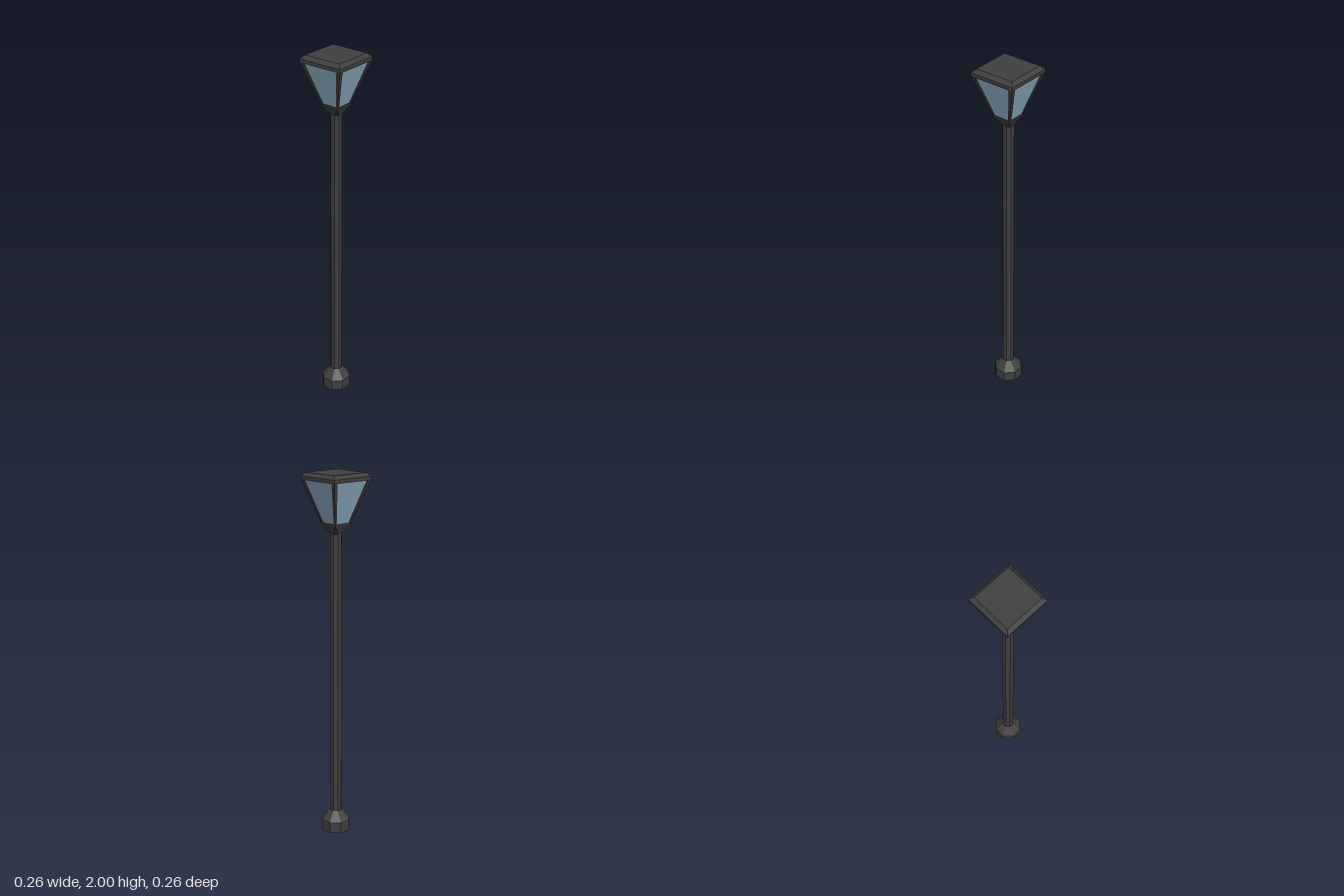
import * as THREE from 'three';

const metal = new THREE.MeshStandardMaterial({ color: 0x3f3f3f, flatShading: true });
const glass = new THREE.MeshStandardMaterial({ color: 0x8fb0c6, flatShading: true });

// Lantern wall: half-width grows linearly with height
const Y0 = 1.73, Y1 = 1.967, H0 = 0.053, H1 = 0.13;
const halfAt = (y) => H0 + ((H1 - H0) * (y - Y0)) / (Y1 - Y0);

// Prism or frustum with flats facing the axes; sizes are centre-to-flat
function prism(sides, bottom, top, y0, y1) {
  const k = 1 / Math.cos(Math.PI / sides);
  const geo = new THREE.CylinderGeometry(top * k, bottom * k, y1 - y0, sides);
  geo.rotateY(Math.PI / sides);
  geo.translate(0, (y0 + y1) / 2, 0);
  return geo;
}

// Lean a flat panel onto the lantern wall, mitred toward the inside
function leanOntoWall(geo, inset) {
  const p = geo.attributes.position;
  for (let i = 0; i < p.count; i++) {
    const h = halfAt(p.getY(i));
    const depth = inset - p.getZ(i);
    p.setXYZ(i, (p.getX(i) * (h - depth)) / h, p.getY(i), h - depth);
  }
  geo.computeVertexNormals();
  return geo;
}

const trapezoid = (b, t, y0, y1) => [[-b, y0], [b, y0], [t, y1], [-t, y1]].map(([x, y]) => new THREE.Vector2(x, y));

export function createModel() {
  const group = new THREE.Group();
  const add = (name, geo, mat = metal, parent = group) => {
    const mesh = new THREE.Mesh(geo, mat);
    mesh.name = name;
    parent.add(mesh);
    return mesh;
  };

  // Octagonal foot and pole
  add('base', prism(8, 0.075, 0.075, 0, 0.062));
  add('baseTaper', prism(8, 0.075, 0.031, 0.062, 0.117));
  add('pole', prism(8, 0.03, 0.03, 0.1, 1.7));

  // Collar: octagon at the pole opening into the square lantern floor
  const collar = prism(8, 0.03, H0, 1.682, Y0);
  const p = collar.attributes.position;
  for (let i = 0; i < p.count; i++) {
    if (p.getY(i) < Y0 - 0.01 || Math.hypot(p.getX(i), p.getZ(i)) < 0.001) continue;
    p.setX(i, Math.sign(p.getX(i)) * H0);
    p.setZ(i, Math.sign(p.getZ(i)) * H0);
  }
  add('collar', collar);

  // Four framed panes
  const thickness = 0.012;
  const opening = trapezoid(0.045, 0.106, 1.74, 1.96);
  const frameShape = new THREE.Shape(trapezoid(H0, H1, Y0, Y1));
  frameShape.holes.push(new THREE.Path(opening));
  const frameGeo = leanOntoWall(
    new THREE.ExtrudeGeometry(frameShape, { depth: thickness, bevelEnabled: false }), thickness);
  const paneGeo = leanOntoWall(new THREE.ShapeGeometry(new THREE.Shape(opening)), 0.004);
  for (let i = 0; i < 4; i++) {
    const side = new THREE.Group();
    side.name = 'lanternSide';
    side.rotation.y = (i * Math.PI) / 2;
    add('frame', frameGeo, metal, side);
    add('pane', paneGeo, glass, side);
    group.add(side);
  }

  // Square lid with a bevelled top edge
  add('lidRim', prism(4, H1, H1, Y1, 1.981));
  add('lidTop', prism(4, H1, 0.11, 1.981, 2));

  return group;
}
